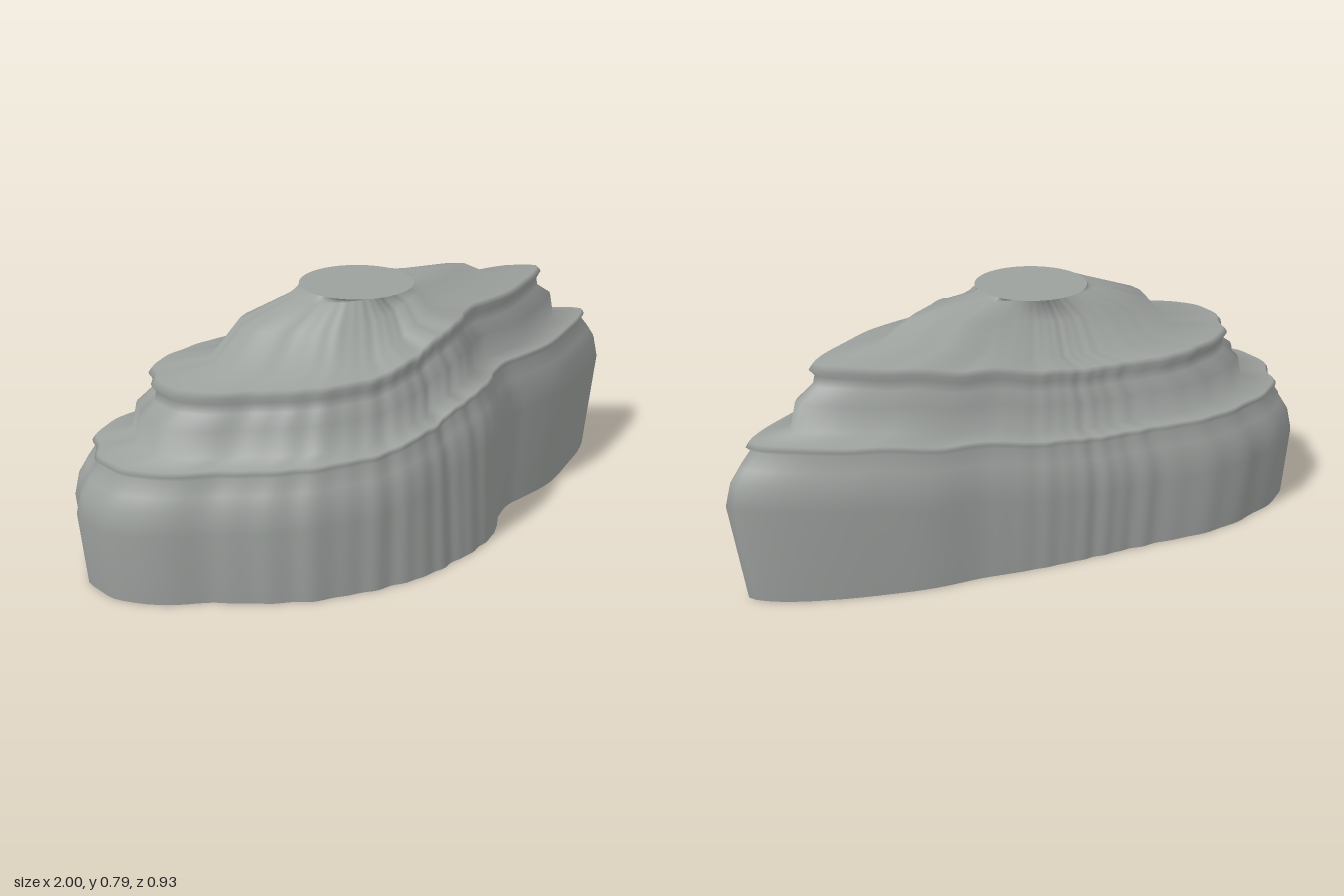
import * as THREE from 'three';

const CX = -0.08, CZ = 0.02, SEG = 240, CROWN_RADIUS = 0.175, CROWN_HEIGHT = 0.79;

// Plan outline as x, z pairs
const OUTLINE = [-1, -0.1, -0.98, -0.22, -0.93, -0.3, -0.85, -0.39, -0.75, -0.44, -0.62, -0.458, -0.48, -0.468,
  -0.35, -0.44, -0.2, -0.4, 0, -0.355, 0.17, -0.31, 0.35, -0.25, 0.5, -0.215, 0.65, -0.155, 0.8, -0.08,
  0.92, 0, 0.987, 0.07, 1, 0.105, 0.92, 0.16, 0.8, 0.21, 0.6, 0.28, 0.45, 0.295, 0.35, 0.3, 0.25, 0.34,
  0.15, 0.4, 0, 0.43, -0.1, 0.435, -0.2, 0.448, -0.35, 0.435, -0.5, 0.39, -0.62, 0.33, -0.72, 0.24,
  -0.8, 0.16, -0.9, 0.07, -0.97, 0];
// Rise of the ledges: angle in degrees (0 = left side, 90 = front), height
const RISE = [[0, 0.09], [8, 0.095], [40, 0.1], [62, 0.1], [80, 0.08], [100, 0.045], [130, 0.015], [180, 0],
  [230, -0.008], [270, -0.005], [300, 0.01], [335, 0.045], [350, 0.075], [360, 0.09]];
// Profile from the foot up: scale of the outline, height, share of the rise
const PROFILE = [
  [0.974, 0, 0], [1, 0.22, 1], [0.983, 0.29, 1], [0.955, 0.33, 1],
  [0.918, 0.375, 1], [0.932, 0.388, 1], [0.92, 0.4, 1], // lower lip
  [0.795, 0.412, 1], [0.778, 0.49, 1], [0.722, 0.53, 1],
  [0.715, 0.56, 1], [0.732, 0.58, 1], [0.715, 0.597, 1], // upper lip
  [0.515, 0.612, 1], [0.415, 0.714, 0.5], [0.25, 0.77, 0.12],
];

const angle = i => (i / SEG) * Math.PI * 2;

// Distance from the middle to the smoothed outline, per angle
function outlineRadii() {
  const pts = [];
  for (let i = 0; i < OUTLINE.length; i += 2) pts.push(new THREE.Vector3(OUTLINE[i] - CX, 0, OUTLINE[i + 1] - CZ));
  const line = new THREE.CatmullRomCurve3(pts, true, 'centripetal').getPoints(300);
  return Array.from({ length: SEG }, (_, i) => {
    const a = angle(i), c = Math.cos(a), s = Math.sin(a);
    let best = 0;
    for (let k = 0; k < line.length - 1; k++) {
      const p = line[k], q = line[k + 1];
      const sp = c * p.z - s * p.x, sq = c * q.z - s * q.x;
      if (sp * sq > 0 || sp === sq) continue;
      const t = sp / (sp - sq);
      best = Math.max(best, c * (p.x + (q.x - p.x) * t) + s * (p.z + (q.z - p.z) * t));
    }
    // Upright folds, strongest away from the pointed end
    return best * (1 + 0.005 * (1 - Math.max(0, c)) * (Math.sin(a * 23) + Math.sin(a * 37 + 1)));
  });
}

function rise(i) {
  const d = (i / SEG) * 360;
  const k = RISE.findIndex(r => r[0] > d);
  const [a, ya] = RISE[k - 1], [b, yb] = RISE[k];
  return THREE.MathUtils.lerp(ya, yb, THREE.MathUtils.smoothstep(d, a, b));
}

export function createModel() {
  const stone = new THREE.MeshStandardMaterial({ color: 0x9da19e });
  stone.name = 'greyStone';
  const group = new THREE.Group();
  group.name = 'rock';

  function addPart(name, rings, index) {
    const geometry = new THREE.BufferGeometry();
    geometry.setAttribute('position', new THREE.Float32BufferAttribute(rings.flat(2), 3));
    geometry.setIndex(index);
    geometry.computeVertexNormals();
    const mesh = new THREE.Mesh(geometry, stone);
    mesh.name = name;
    group.add(mesh);
  }

  const outline = outlineRadii();
  const ring = (radius, height) => outline.map((_, i) =>
    [CX + Math.cos(angle(i)) * radius(i), height(i), CZ + Math.sin(angle(i)) * radius(i)]);

  const rings = PROFILE.map(([scale, y, share], n) => ring(i => {
    // Foot flares at the front and tucks in at the point
    const c = Math.cos(angle(i)), s = Math.sin(angle(i));
    const foot = n === 0 ? 0.075 * Math.max(0, s) ** 6 - 0.028 * Math.max(0, c) ** 8 : 0;
    return outline[i] * scale * (1 + foot);
  }, i => y + rise(i) * share));
  rings.push(ring(() => CROWN_RADIUS, () => CROWN_HEIGHT));

  // Terraced sides
  const sides = [];
  for (let n = 0; n < (rings.length - 1) * SEG; n += SEG) {
    for (let i = 0; i < SEG; i++) {
      const a = n + i, b = n + (i + 1) % SEG;
      sides.push(a, a + SEG, b, b, a + SEG, b + SEG);
    }
  }
  addPart('terraces', rings, sides);

  // Flat crown and underside, fanned from the middle
  const up = [], down = [];
  for (let i = 0; i < SEG; i++) {
    const j = (i + 1) % SEG;
    up.push(SEG, j, i);
    down.push(SEG, i, j);
  }
  addPart('crown', [rings.at(-1), [[CX, CROWN_HEIGHT, CZ]]], up);
  addPart('underside', [rings[0], [[CX, 0, CZ]]], down);
  return group;
}
